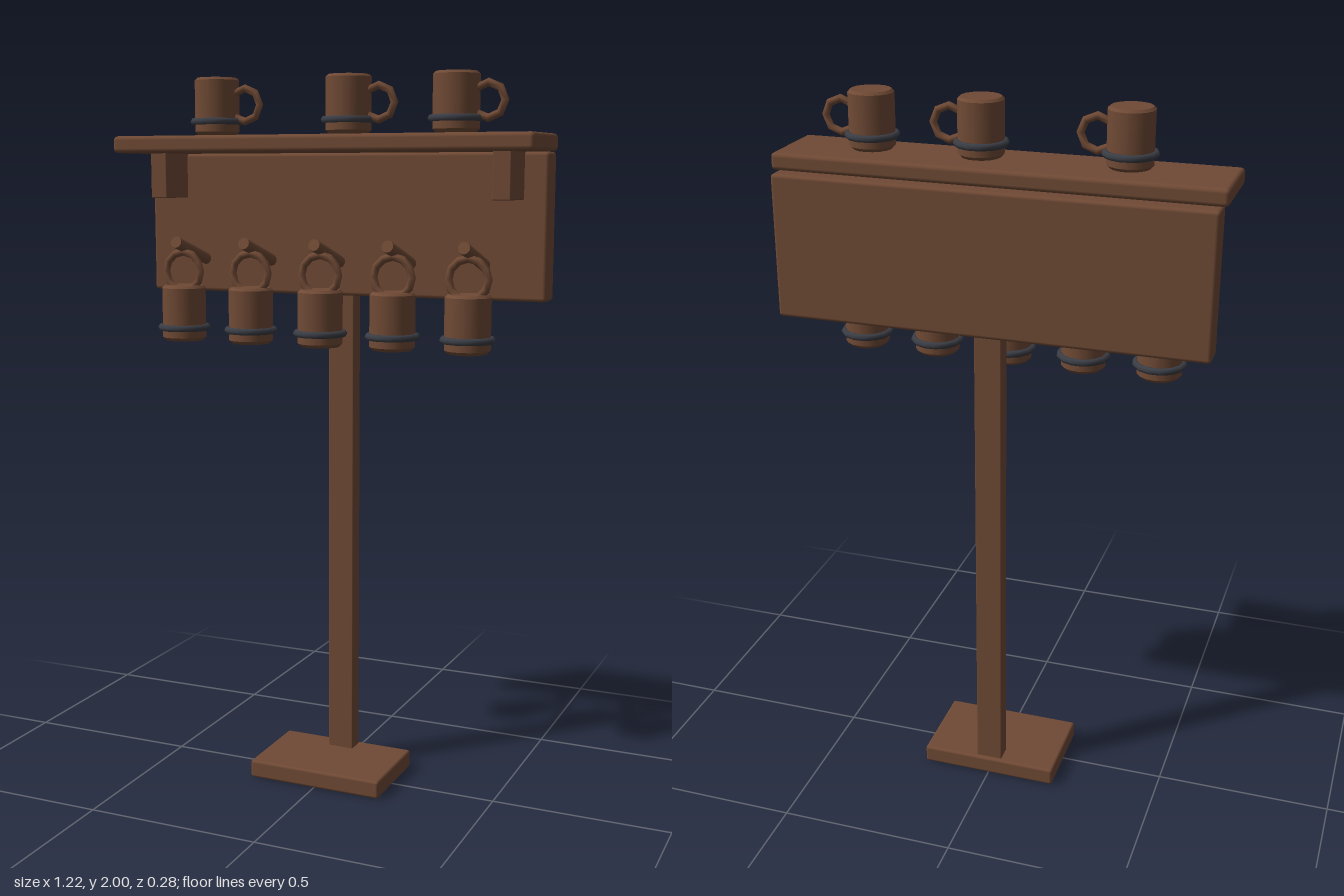
import * as THREE from 'three';
import { RoundedBoxGeometry } from 'three/addons/geometries/RoundedBoxGeometry.js';

export function createModel() {
  const model = new THREE.Group();
  model.name = 'mugRack';
  const wood = new THREE.MeshStandardMaterial({ name: 'brown wood', color: 0x704a35 });
  const iron = new THREE.MeshStandardMaterial({ name: 'dark iron', color: 0x3b3e46 });

  const add = (parent, name, geometry, material = wood) => {
    const mesh = new THREE.Mesh(geometry, material);
    mesh.name = name;
    parent.add(mesh);
    return mesh;
  };
  // Box given by its limits on each axis
  const box = (name, [x0, x1], [y0, y1], [z0, z1], bevel = 0.008) => {
    const geometry = new RoundedBoxGeometry(x1 - x0, y1 - y0, z1 - z0, 2, bevel);
    add(model, name, geometry).position.set((x0 + x1) / 2, (y0 + y1) / 2, (z0 + z1) / 2);
  };

  // Stand, back board and shelf
  box('base', [-0.2, 0.2], [0, 0.052], [-0.14, 0.122]);
  box('post', [-0.038, 0.038], [0.04, 1.41], [-0.128, -0.078], 0.003);
  box('backBoard', [-0.597, 0.597], [1.4, 1.795], [-0.142, -0.066], 0.01);
  box('shelf', [-0.611, 0.611], [1.795, 1.842], [-0.105, 0.131], 0.012);
  for (const side of [-1, 1]) {
    box('shelfBracket', [side * 0.506 - 0.025, side * 0.506 + 0.025], [1.67, 1.8], [-0.075, 0.058], 0.003);
  }

  // Solid mug with bevelled rims and an iron hoop near its foot
  const mugProfile = [[0, 0], [0.053, 0], [0.053, 0], [0.062, 0.009], [0.062, 0.009],
    [0.062, 0.149], [0.062, 0.149], [0.055, 0.156], [0.055, 0.156], [0, 0.156]]
    .map(([r, y]) => new THREE.Vector2(r, y));
  const mugGeometry = new THREE.LatheGeometry(mugProfile, 16);
  const hoopGeometry = new THREE.TorusGeometry(0.065, 0.01, 6, 14).rotateX(Math.PI / 2);
  const mug = (name, x, y, z) => {
    const group = new THREE.Group();
    group.name = name;
    group.position.set(x, y, z);
    add(group, 'mugBody', mugGeometry);
    add(group, 'mugHoop', hoopGeometry, iron).position.y = 0.037;
    model.add(group);
    return group;
  };

  // Mugs standing on the shelf, handles to the side
  const sideHandle = new THREE.TorusGeometry(0.045, 0.011, 6, 8);
  for (const x of [-0.333, 0.065, 0.37]) {
    add(mug('shelfMug', x, 1.844, 0.025), 'mugHandle', sideHandle).position.set(0.087, 0.081, 0);
  }

  // Mugs hanging by their handles from sloping pegs
  const topHandle = new THREE.TorusGeometry(0.055, 0.011, 6, 12);
  const pegStart = new THREE.Vector3(0, 1.493, -0.075);
  const pegEnd = new THREE.Vector3(0, 1.549, 0.109);
  const pegAxis = pegEnd.clone().sub(pegStart);
  const pegGeometry = new THREE.CylinderGeometry(0.017, 0.017, pegAxis.length(), 10);
  for (let i = -2; i <= 2; i++) {
    const x = i * 0.2125;
    const peg = add(model, 'peg', pegGeometry);
    peg.position.copy(pegStart).add(pegEnd).multiplyScalar(0.5).setX(x);
    peg.quaternion.setFromUnitVectors(new THREE.Vector3(0, 1, 0), pegAxis.clone().normalize());
    add(mug('hangingMug', x, 1.27, 0.068), 'mugHandle', topHandle).position.y = 0.195;
  }
  return model;
}
